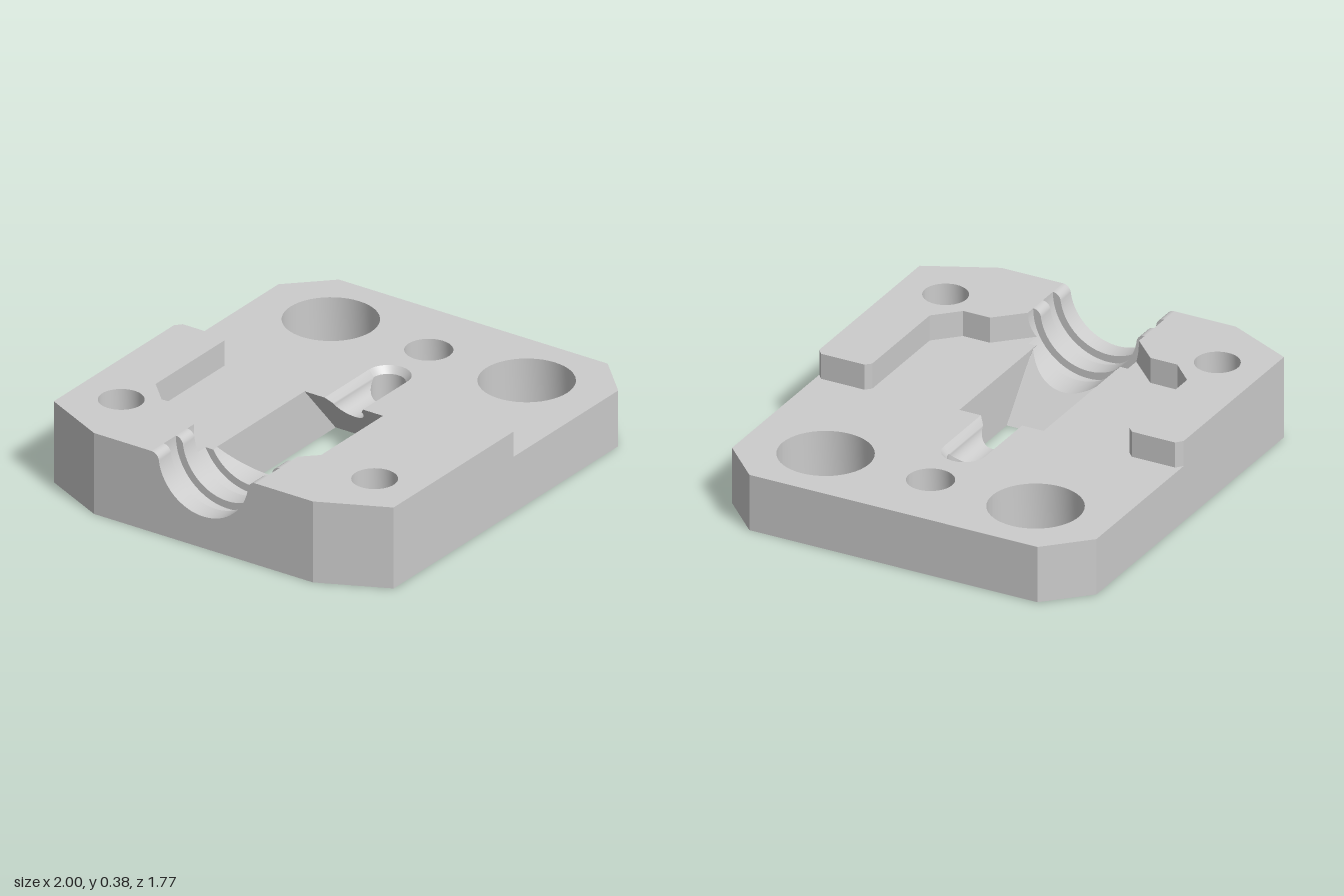
import * as THREE from 'three';
import { mergeGeometries } from 'three/addons/utils/BufferGeometryUtils.js';

const BASE = 0.265, TOP = 0.385;      // heights of the low deck and the raised shoulders
const W = 0.204;                      // half width of the slanted window
const BORE = 0.235, RING = 0.27;      // bore and ring-groove radii (axis at y = TOP)
const SLANT = 0.23 / BASE;
const HOLE = { x: 0.37, r: 0.075 };   // wire hole at the end of the slot
const mat = (flatShading) => new THREE.MeshStandardMaterial({ color: 0xcccccc, side: THREE.DoubleSide, flatShading });
const FLAT = mat(true), SMOOTH = mat(false);
const mirrorZ = (pts) => pts.map(([x, z]) => [x, -z]);
const range = (n, f) => Array.from({ length: n + 1 }, (_, i) => f(i / n));

// surface stretched between two point rows of equal length
function ribbon(a, b) {
  const g = new THREE.BufferGeometry(), n = a.length, idx = [];
  g.setAttribute('position', new THREE.Float32BufferAttribute([...a, ...b].flat(), 3));
  for (let i = 0; i < n - 1; i++) idx.push(i, i + 1, n + i, i + 1, n + i + 1, n + i);
  g.setIndex(idx);
  g.computeVertexNormals();
  return g;
}
const at = (pts, y) => pts.map(([x, z]) => [x, y, z]);
const wall = (pts, y0, y1) => ribbon(at(pts, y1), at(pts, y0));

// horizontal face with holes, given in x and z
function plate(outline, holes, y, up = true) {
  const s = up ? -1 : 1;
  const v = (pts) => pts.map(([x, z]) => new THREE.Vector2(x, z * s));
  const shape = new THREE.Shape(v(outline));
  holes.forEach((h) => shape.holes.push(new THREE.Path(v(h))));
  return new THREE.ShapeGeometry(shape).rotateX(s * Math.PI / 2).translate(0, y, 0);
}
// closed ring of points; n = 6 gives a hexagon with corners on z
const ring = (x, z, r, n = 48) => range(n, (t) => {
  const a = t * 2 * Math.PI;
  return [x + r * Math.sin(a), z + r * Math.cos(a)];
});
const open = (pts) => pts.slice(0, -1);

// bore cross-sections as [z, y]
const arc = (r, a0, a1, n = 32) => range(n, (t) => {
  const a = a0 + (a1 - a0) * t;
  return [r * Math.sin(a), TOP - r * Math.cos(a)];
});
function lipSection() {               // narrow bore with rounded upper lips
  const a = Math.acos(0.04 / BORE), z = BORE * Math.sin(a);
  const lip = range(8, (t) => [z + (RING - z) * (1 - Math.cos(t * Math.PI / 2)), TOP - 0.04 + 0.04 * Math.sin(t * Math.PI / 2)]);
  const left = lip.slice(1).reverse().map(([p, y]) => [-p, y]);
  return [...left, ...arc(BORE, -a, a), ...lip.slice(1)];
}
const across = (sec, fx) => sec.map(([z, y]) => [typeof fx === 'function' ? fx(y, z) : fx, y, z]);

export function createModel() {
  const group = new THREE.Group();
  const add = (name, geos, material = FLAT) => {
    const parts = geos.map((g) => {
      const p = g.index ? g.toNonIndexed() : g;
      p.deleteAttribute('uv');
      return p;
    });
    const mesh = new THREE.Mesh(mergeGeometries(parts), material);
    mesh.name = name;
    group.add(mesh);
  };

  // plan outlines, +z half
  const shoulderEdge = [[0.04, 0.885], [0.07, 0.86], [0.07, 0.65], [0.045, 0.625], [-0.465, 0.625], [-0.57, 0.52], [-0.57, 0.39]];
  const diagX = (z) => -0.57 - 0.973 * (0.39 - Math.abs(z));
  const ringBaseZ = Math.sqrt(RING ** 2 - (TOP - BASE) ** 2);
  const cornerL = [[-1, 0.57], [-0.85, 0.885]], cornerR = [[0.815, 0.885], [1, 0.7]];
  const bigHoles = [0.51, -0.51].map((z) => ring(0.67, z, 0.21));
  const screws = [[0.67, 0, BASE], [-0.67, 0.66, TOP], [-0.67, -0.66, TOP]];

  // low deck, notched by the bore, window and wire slot
  const halfDeck = [
    ...cornerR.slice().reverse(), ...shoulderEdge, [diagX(ringBaseZ), ringBaseZ], [-0.64, ringBaseZ],
    [-0.64, W], [-0.61, W], [0.04, W], [0.04, 0.1],
  ];
  const slotEnd = range(20, (t) => [HOLE.x + 0.1 * Math.sin(t * Math.PI), 0.1 * Math.cos(t * Math.PI)]);
  const deck = [...halfDeck, ...slotEnd, ...mirrorZ(halfDeck).reverse()];
  add('deck', [plate(deck, [...bigHoles, ring(0.67, 0, 0.105)].map(open), BASE)]);

  // raised shoulders
  const shoulderTop = [[-1, RING], ...cornerL, ...shoulderEdge, [diagX(RING), RING]];
  [1, -1].forEach((s) => {
    const m = (p) => (s > 0 ? p : mirrorZ(p));
    const edge = m(shoulderEdge), end = edge[edge.length - 1];
    const hit = arc(RING, Math.acos((TOP - BASE) / RING), Math.PI / 2, 8).map(([z, y]) => [diagX(z), y, z * s]);
    add(s > 0 ? 'leftShoulder' : 'rightShoulder', [
      plate(m(shoulderTop), [open(ring(-0.67, 0.66 * s, 0.1))], TOP),
      wall(edge, BASE, TOP),
      ribbon(hit, range(8, (t) => [end[0], BASE + (TOP - BASE) * t, end[1]])),
      wall(m([cornerL[1], shoulderEdge[0]]), BASE, TOP),
    ]);
  });

  // outer walls
  const side = [...cornerL, ...cornerR];
  add('outerWalls', [
    wall([...side, ...mirrorZ(side).reverse()], 0, BASE),
    wall(cornerL, BASE, TOP), wall(mirrorZ(cornerL), BASE, TOP),
  ]);
  const narrow = lipSection();
  const face = new THREE.Shape([[-0.57, TOP], [-0.57, 0], [0.57, 0], [0.57, TOP], ...narrow.slice().reverse()].map(([z, y]) => new THREE.Vector2(z, y)));
  add('boreEndWall', [new THREE.ShapeGeometry(face).rotateY(-Math.PI / 2).translate(-1, 0, 0)]);

  // bore with two ring grooves, running into the ramp
  const wide = arc(RING, -Math.PI / 2, Math.PI / 2, narrow.length - 1);
  const aw = Math.acos((TOP - BASE) / RING), an = Math.acos((TOP - BASE) / BORE);
  const wideLow = arc(RING, -aw, aw), narrowLow = arc(BORE, -an, an);
  const rampX = (y) => -0.61 + SLANT * (BASE - y);
  const tube = (sec, x0, x1) => ribbon(across(sec, x0), across(sec, x1));
  add('bore', [
    tube(narrow, -1, -0.91), tube(wide, -0.91, -0.82), tube(narrow, -0.82, -0.735), tube(wideLow, -0.735, -0.64),
    ...[1, -1].map((s) => tube(arc(RING, aw * s, s * Math.PI / 2, 8), -0.735, (y, z) => diagX(z))),
    tube(narrowLow, -0.64, rampX),
  ], SMOOTH);
  add('boreSteps', [
    ...[-0.91, -0.82, -0.735].map((x) => ribbon(across(narrow, x), across(wide, x))),
    ribbon(across(narrowLow, -0.64), across(wideLow, -0.64)),
  ]);

  // wire slot: bevelled edges over a round floor
  const slotX = (y) => 0.04 + SLANT * (BASE - y);
  const floorY = (z) => 0.235 - 0.068 * Math.sqrt(Math.max(0, 1 - (z / HOLE.r) ** 2));
  const slotSec = [[-0.1, BASE], ...range(24, (t) => {
    const z = -HOLE.r * Math.cos(t * Math.PI);
    return [z, floorY(z)];
  }), [0.1, BASE]];
  const holeEdge = (y, z) => HOLE.x - Math.sqrt(Math.max(0, HOLE.r ** 2 - z * z));
  const lipIn = slotEnd.map(([x, z]) => [HOLE.x + (x - HOLE.x) * 0.75, 0.235, z * 0.75]);
  add('wireSlot', [tube(slotSec, slotX, holeEdge), ribbon(at(slotEnd, BASE), lipIn)], SMOOTH);
  const wireRing = ring(HOLE.x, 0, HOLE.r);
  add('wireHole', [ribbon(wireRing.map(([x, z]) => [x, x > HOLE.x ? 0.235 : floorY(z), z]), at(wireRing, 0))], SMOOTH);

  // slanted window
  const farSec = [[-W, BASE], ...slotSec, [W, BASE]];
  add('window', [
    ribbon(across(narrowLow, rampX), narrowLow.map(([z]) => [-0.38, 0, z])),
    ribbon(across(farSec, slotX), farSec.map(([z]) => [0.27, 0, z])),
    ...[W, -W].map((z) => ribbon([[-0.61, BASE, z], [0.04, BASE, z]], [[-0.38, 0, z], [0.27, 0, z]])),
  ]);

  // underside, through holes and hexagonal nut pockets
  const windowLow = [[-0.38, -W], [0.27, -W], [0.27, W], [-0.38, W]];
  const rims = screws.map(([x, z]) => ring(x, z, 0.21, 6));
  add('underside', [plate(open([...side, ...mirrorZ(side).reverse(), side[0]]), [windowLow, ...[...bigHoles, wireRing, ...rims].map(open)], 0, false)]);
  add('largeHoles', bigHoles.map((h) => wall(h, 0, BASE)), SMOOTH);
  const depth = 0.15;
  screws.forEach(([x, z, top], i) => {
    const hex = ring(x, z, 0.18, 6), r = i ? 0.1 : 0.105;
    add('nutPocket' + (i + 1), [
      ribbon(at(rims[i], 0), at(hex, 0.03)), wall(hex, 0.03, depth),
      plate(open(hex), [open(ring(x, z, r))], depth, false),
    ]);
    add('screwHole' + (i + 1), [wall(ring(x, z, r), depth, top)], SMOOTH);
  });
  return group;
}
